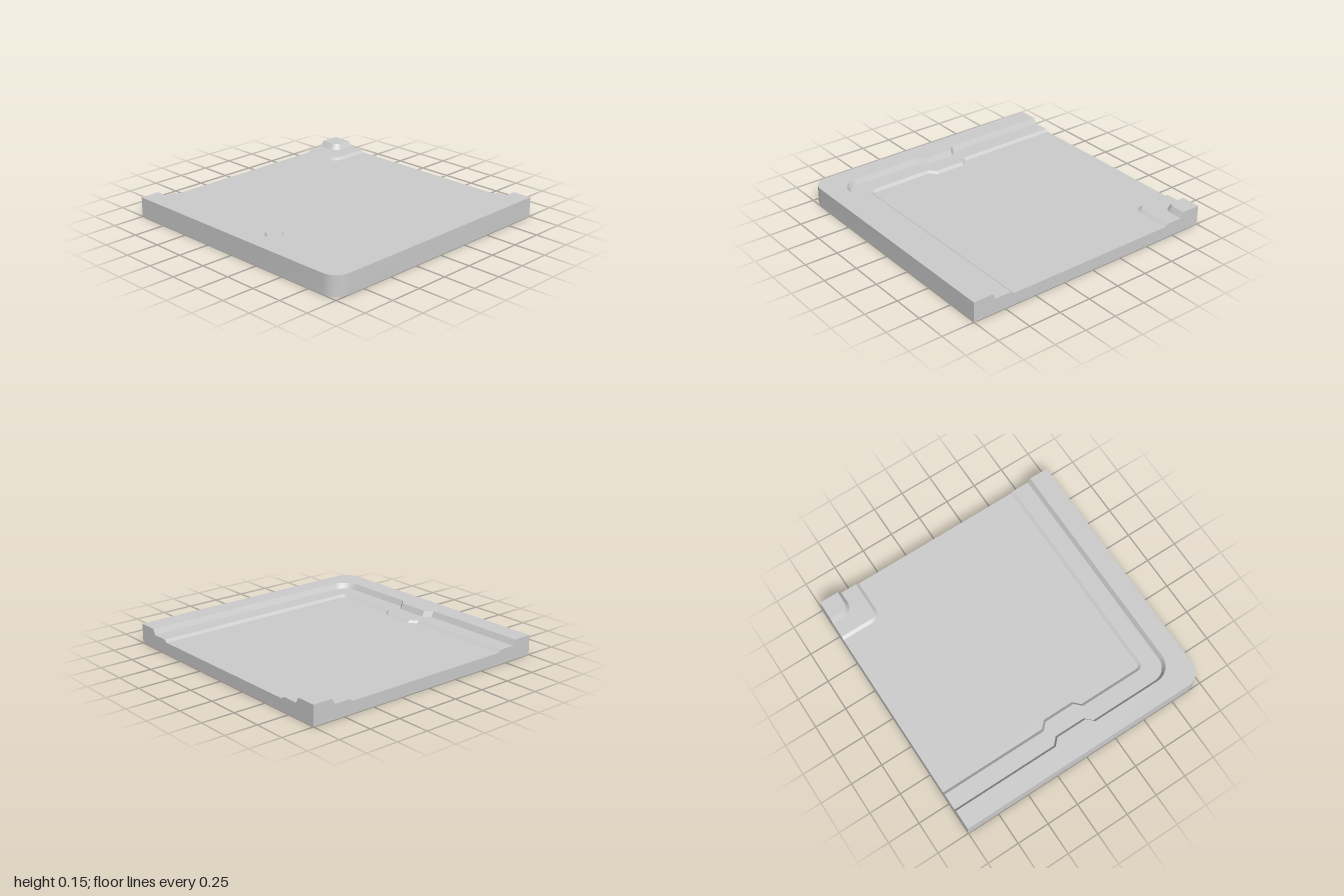
import * as THREE from 'three';
import { toCreasedNormals } from 'three/addons/utils/BufferGeometryUtils.js';

const TOP = 0.15, LEDGE = 0.108, FLOOR = 0.09;

// Line from the back edge along x = x0, round a corner of radius r, then along z = z0 to the left edge
function edgePath(x0, z0, r, y, bump = null) {
  const pts = [[x0, -1]];
  if (bump !== null) {
    pts.push([x0, -0.17], [x0 + bump, -0.12], [x0 + bump, 0.12], [x0, 0.17]);
  }
  for (let i = 0; i <= 6; i++) {
    const a = (i / 6) * Math.PI / 2;
    pts.push([x0 + r - r * Math.cos(a), z0 - r + r * Math.sin(a)]);
  }
  pts.push([1, z0]);
  return pts.map(([x, z]) => new THREE.Vector3(x, y, z));
}

// Surface through successive rows of equal point count
function loft(rows) {
  const n = rows[0].length, index = [];
  for (let j = 0; j < rows.length - 1; j++) {
    for (let i = 0; i < n - 1; i++) {
      const a = j * n + i, b = a + 1, c = b + n, d = a + n;
      index.push(a, b, c, a, c, d);
    }
  }
  const g = new THREE.BufferGeometry().setFromPoints(rows.flat());
  g.setIndex(index);
  return toCreasedNormals(g, Math.PI / 7);
}

const flatShape = (pts) => new THREE.ShapeGeometry(new THREE.Shape(pts.map(([x, y]) => new THREE.Vector2(x, y))));

// Horizontal face looking up
function upFace(points, y) {
  return flatShape(points.map((p) => [p.x, -p.z])).rotateX(-Math.PI / 2).translate(0, y, 0);
}

export function createModel() {
  const group = new THREE.Group();
  const material = new THREE.MeshStandardMaterial({ color: 0xcccccc, side: THREE.DoubleSide });
  const add = (name, geometry) => {
    const mesh = new THREE.Mesh(geometry, material);
    mesh.name = name;
    group.add(mesh);
  };

  // Outer wall, raised rim, sloped kerb, ledge and shallow step down to the floor
  const rimRows = [
    edgePath(-1, 1, 0.12, 0, 0),
    edgePath(-1, 1, 0.12, TOP, 0),
    edgePath(-0.85, 0.85, 0.14, TOP, 0.05),
    edgePath(-0.828, 0.828, 0.12, LEDGE, 0.05),
    edgePath(-0.7, 0.7, 0.05, LEDGE, 0.05),
    edgePath(-0.678, 0.678, 0.03, FLOOR, 0.05),
  ];
  add('rimAndKerb', loft(rimRows));

  // Raised inside corner with its own step, ledge and kerb
  const cornerRows = [
    edgePath(0.677, -0.677, 0.08, FLOOR),
    edgePath(0.7, -0.7, 0.06, LEDGE),
    edgePath(0.825, -0.825, 0.08, LEDGE),
    edgePath(0.85, -0.85, 0.055, TOP),
  ];
  add('insideCornerKerb', loft(cornerRows));
  add('insideCornerTop', upFace([...cornerRows[3], new THREE.Vector3(1, TOP, -1)], TOP));

  // Floor between the two steps
  add('floor', upFace([...rimRows[5], ...[...cornerRows[0]].reverse()], FLOOR));

  // Underside
  const under = [...rimRows[0], new THREE.Vector3(1, 0, -1)];
  add('underside', flatShape(under.map((p) => [p.x, p.z])).rotateX(Math.PI / 2));

  // Cut ends showing the cross-section
  const section = [
    [1, 0], [1, TOP], [0.85, TOP], [0.828, LEDGE], [0.7, LEDGE], [0.678, FLOOR],
    [-0.677, FLOOR], [-0.7, LEDGE], [-0.825, LEDGE], [-0.85, TOP], [-1, TOP], [-1, 0],
  ];
  add('leftEnd', flatShape(section.map(([s, y]) => [-s, y])).rotateY(Math.PI / 2).translate(1, 0, 0));
  add('backEnd', flatShape(section).rotateY(Math.PI).translate(0, 0, -1));

  return group;
}
